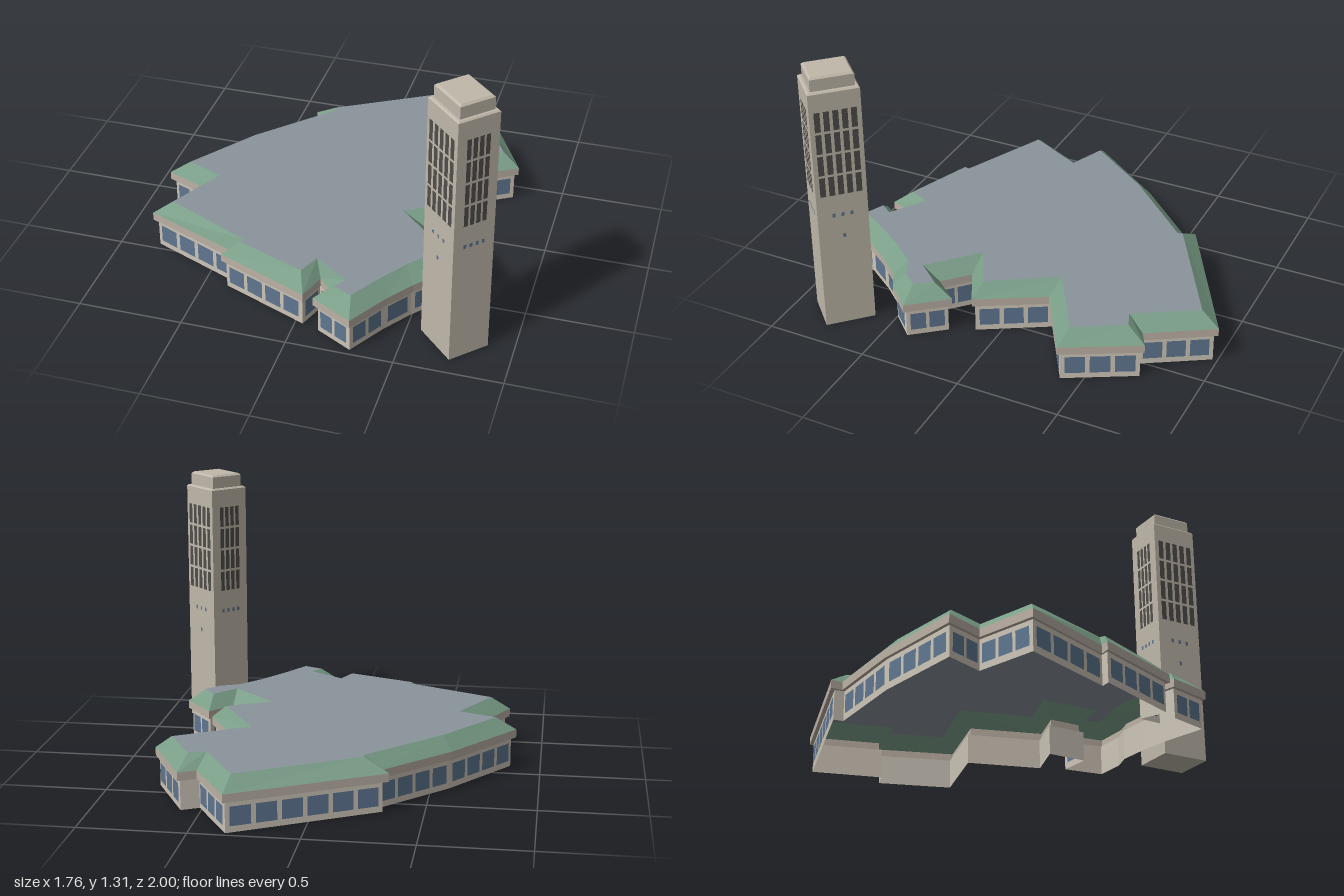
import * as THREE from 'three';

const mat = (name, color, side = THREE.FrontSide) => {
  const m = new THREE.MeshStandardMaterial({ color, side });
  m.name = name;
  return m;
};

export function createModel() {
  const model = new THREE.Group();
  model.name = 'buildingWithTower';
  const M = {
    wall: mat('wallStone', 0xcdc5b8, THREE.DoubleSide),
    trim: mat('trimStone', 0xbcb1a5, THREE.DoubleSide),
    green: mat('greenRoof', 0x7a9e88, THREE.DoubleSide),
    flat: mat('greyRoof', 0x8a939c, THREE.DoubleSide),
    tower: mat('towerStone', 0xc0b8aa),
    glass: mat('blueGlass', 0x5f7690),
    louvre: mat('darkLouvre', 0x504e4b),
  };
  const add = (parent, name, geometry, material) => {
    const mesh = new THREE.Mesh(geometry, material);
    mesh.name = name;
    parent.add(mesh);
    return mesh;
  };

  // Footprint corners: eave x, z and the matching roof-edge x, z
  const plan = [
    [0.34, -1, 0.32, -0.908], [0.52, -0.7, 0.49, -0.62], [0.6, -0.745, 0.57, -0.65],
    [0.785, -0.395, 0.7, -0.42], [0.45, -0.195, 0.362, -0.22], [0.625, 0.12, 0.55, 0.095],
    [0.445, 0.215, 0.34, 0.207], [0.56, 0.325, 0.557, 0.415], [0.66, 0.205, 0.655, 0.3],
    [0.805, 0.385, 0.715, 0.38], [0.685, 0.51, 0.655, 0.45], [0.605, 0.555, 0.557, 0.495],
    [0.505, 0.67, 0.46, 0.61], [0.415, 0.795, 0.355, 0.765], [0.297, 0.995, 0.277, 0.897],
    [0.095, 0.885, 0.185, 0.855], [0.145, 0.8, 0.225, 0.795], [0.09, 0.74, 0.055, 0.68],
    [0.045, 0.875, 0.01, 0.785], [-0.41, 0.69, -0.32, 0.66], [-0.37, 0.655, -0.315, 0.635],
    [-0.835, 0.47, -0.74, 0.44], [-0.695, 0.195, -0.6, 0.17], [-0.88, 0.12, -0.78, 0.095],
    [-0.595, -0.27, -0.55, -0.225], [-0.3, -0.58, -0.22, -0.57], [-0.34, -0.62, -0.225, -0.595],
  ];
  const loop = (t) => plan.map(([x, z, u, v]) => [x + (u - x) * t, z + (v - z) * t]);
  const eave = loop(0), wall = loop(0.25), roof = loop(1);

  // Flat-shaded strip joining two loops at two heights
  const band = (low, y0, high, y1) => {
    const pos = [];
    low.forEach((a, i) => {
      const j = (i + 1) % low.length;
      const al = [a[0], y0, a[1]], bl = [low[j][0], y0, low[j][1]];
      const ah = [high[i][0], y1, high[i][1]], bh = [high[j][0], y1, high[j][1]];
      pos.push(...bl, ...al, ...ah, ...bl, ...ah, ...bh);
    });
    const g = new THREE.BufferGeometry();
    g.setAttribute('position', new THREE.Float32BufferAttribute(pos, 3));
    g.computeVertexNormals();
    return g;
  };

  const hall = new THREE.Group();
  hall.name = 'hall';
  model.add(hall);
  add(hall, 'outerWalls', band(wall, 0, wall, 0.145), M.wall);
  add(hall, 'soffit', band(wall, 0.145, eave, 0.145), M.trim);
  add(hall, 'fascia', band(eave, 0.145, eave, 0.185), M.trim);
  add(hall, 'slopedRoof', band(eave, 0.185, roof, 0.25), M.green);
  const deck = new THREE.ShapeGeometry(new THREE.Shape(roof.map(([x, z]) => new THREE.Vector2(x, -z))));
  add(hall, 'flatRoof', deck.rotateX(-Math.PI / 2).translate(0, 0.25, 0), M.flat);

  // Row of panes along each wall long enough to carry them
  wall.forEach(([x, z], i) => {
    const [x2, z2] = wall[(i + 1) % wall.length];
    const dx = x2 - x, dz = z2 - z, len = Math.hypot(dx, dz);
    if (len < 0.1) return;
    const count = Math.max(1, Math.round(len / 0.122));
    const pitch = (len - 0.02) / count;
    for (let k = 0; k < count; k++) {
      const t = (0.01 + (k + 0.5) * pitch) / len;
      const pane = add(hall, 'windowPane', new THREE.PlaneGeometry(pitch * 0.82, 0.09), M.glass);
      pane.position.set(x + dx * t + (dz / len) * 0.003, 0.075, z + dz * t - (dx / len) * 0.003);
      pane.rotation.y = Math.atan2(dz, -dx);
    }
  });

  // Tower, turned 45 degrees, wide faces along its local x
  const W = 0.238, D = 0.206;
  const tower = new THREE.Group();
  tower.name = 'tower';
  tower.position.set(0.7225, 0, 0.757);
  tower.rotation.y = -Math.PI / 4;
  model.add(tower);

  // Box whose top is drawn in by a small bevel
  const block = (name, w, d, y0, y1, bevel) => {
    add(tower, name, new THREE.BoxGeometry(w, y1 - y0 - bevel, d), M.tower).position.y = (y0 + y1 - bevel) / 2;
    const g = new THREE.BoxGeometry(w, bevel, d);
    const p = g.attributes.position;
    for (let i = 0; i < p.count; i++) {
      if (p.getY(i) > 0) {
        p.setX(i, p.getX(i) * (1 - 2 * bevel / w));
        p.setZ(i, p.getZ(i) * (1 - 2 * bevel / d));
      }
    }
    const flat = g.toNonIndexed();
    flat.computeVertexNormals();
    add(tower, name + 'Bevel', flat, M.tower).position.y = y1 - bevel / 2;
  };
  block('towerShaft', W, D, 0, 1.245, 0.007);
  block('towerCap', W - 0.035, D - 0.035, 1.24, 1.312, 0.009);

  // Louvres and small windows, the same on opposite faces
  for (let f = 0; f < 4; f++) {
    const wide = f % 2 === 0;
    const face = new THREE.Group();
    face.name = 'towerFace';
    face.rotation.y = f * Math.PI / 2;
    tower.add(face);
    const plate = (name, x, y, w, h, m) =>
      add(face, name, new THREE.PlaneGeometry(w, h), m).position.set(x, y, (wide ? D : W) / 2 + 0.002);
    const cols = wide ? 5 : 4, pitch = wide ? 0.042 : 0.031, width = wide ? 0.027 : 0.021;
    for (let c = 0; c < cols; c++) {
      const x = (c - (cols - 1) / 2) * pitch;
      for (let r = 0; r < 4; r++) plate('louvre', x, 0.76 + r * 0.1125, width, 0.1, M.louvre);
    }
    const small = wide ? 3 : 4, step = wide ? 0.042 : 0.031;
    for (let c = 0; c < small; c++) {
      plate('smallWindow', (c - (small - 1) / 2) * step, 0.603, 0.014, 0.02, M.glass);
    }
    if (wide) plate('smallWindow', 0, 0.487, 0.014, 0.02, M.glass);
  }
  return model;
}
